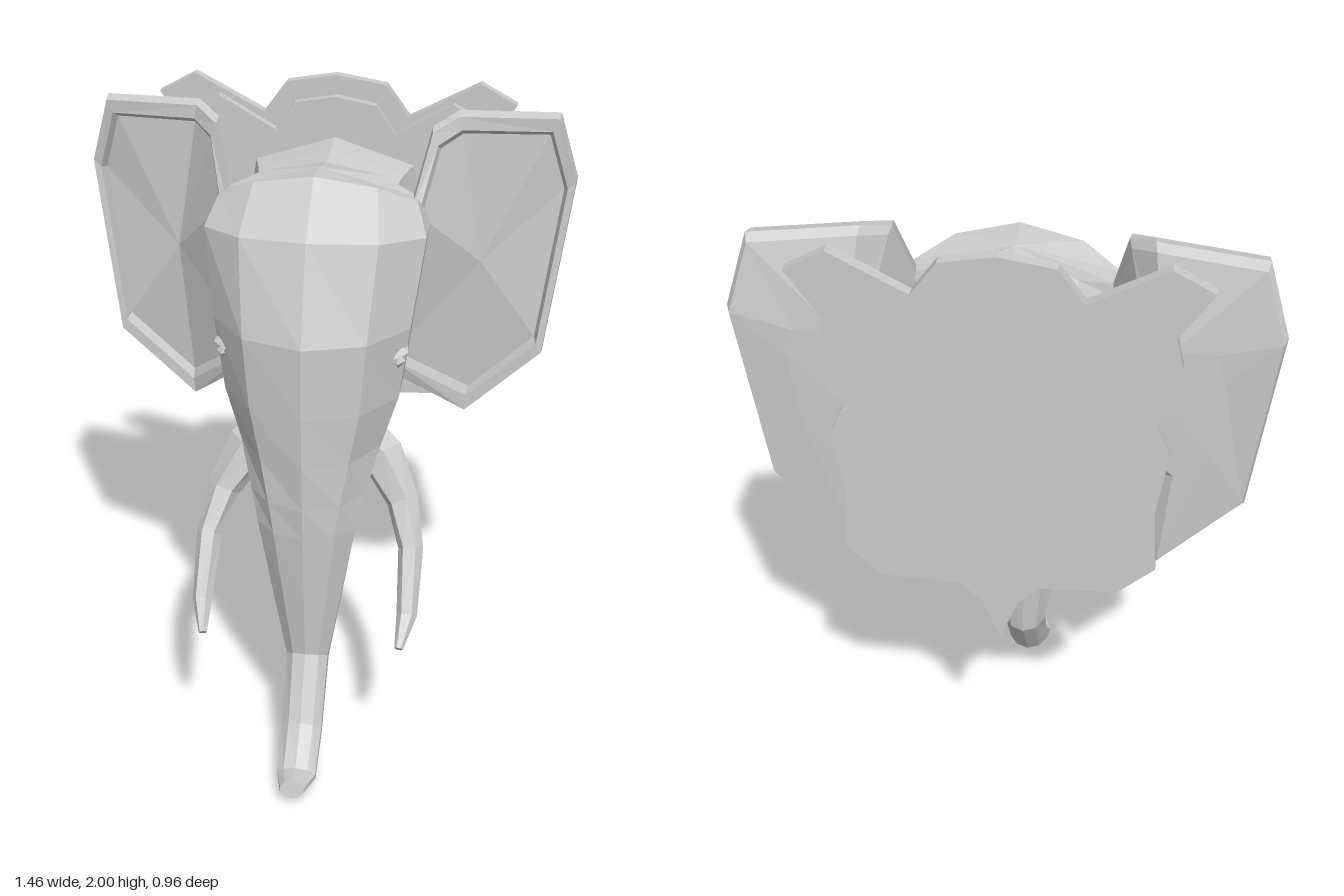
import * as THREE from 'three';

const V = (x, y, z) => new THREE.Vector3(x, y, z);
const material = new THREE.MeshStandardMaterial({ color: 0xcccccc, flatShading: true });

function addMesh(parent, name, geometry) {
  const mesh = new THREE.Mesh(geometry, material);
  mesh.name = name;
  parent.add(mesh);
  return mesh;
}

// Closed skin over rings of equal point count, capped at both ends, faces turned outward
function loft(rings, startTip, endTip) {
  const n = rings[0].length;
  const centre = (r) => r.reduce((s, p) => s.add(p), V(0, 0, 0)).divideScalar(n);
  const points = [...rings.flat(), startTip ?? centre(rings[0]), endTip ?? centre(rings.at(-1))];
  const first = rings.length * n, last = (rings.length - 1) * n;
  const faces = [];
  for (let j = 0; j < n; j++) {
    const k = (j + 1) % n;
    faces.push([first, k, j], [first + 1, last + j, last + k]);
    for (let i = 0; i < rings.length - 1; i++) {
      const a = i * n + j, b = i * n + k;
      faces.push([a, b, b + n], [a, b + n, a + n]);
    }
  }
  let volume = 0;
  const cross = V(0, 0, 0);
  for (const [a, b, c] of faces) volume += points[a].dot(cross.crossVectors(points[b], points[c]));
  if (volume < 0) faces.forEach((f) => f.reverse());
  const geometry = new THREE.BufferGeometry().setFromPoints(faces.flat().map((i) => points[i]));
  geometry.computeVertexNormals();
  return geometry;
}

const power = (v, e) => Math.sign(v) * Math.abs(v) ** e;

// Ring between a front point and a back point, with a half width and a sag at the sides
function headRing([yf, zf, yb, zb, w, sag = 0]) {
  return Array.from({ length: 10 }, (_, i) => {
    const a = (i / 10) * Math.PI * 2;
    const t = (1 - power(Math.cos(a), 1.15)) / 2;
    return V(w * Math.sin(a), yf + (yb - yf) * t - sag * Math.sin(a) ** 2, zf + (zb - zf) * t);
  });
}

// Upright ring of the neck
function neckRing([z, low, high, w]) {
  return Array.from({ length: 8 }, (_, i) => {
    const a = (i / 8) * Math.PI * 2;
    return V(w * power(Math.sin(a), 0.6),
      (low + high) / 2 + ((high - low) / 2) * power(Math.cos(a), 0.6), z);
  });
}

// Tapered six-sided horn along a path
function taperedTube(path, radii) {
  return loft(path.map((p, i) => {
    const dir = path[Math.min(i + 1, path.length - 1)].clone().sub(path[Math.max(i - 1, 0)]).normalize();
    const u = V(0, 0, 1).cross(dir).normalize(), v = dir.clone().cross(u);
    return Array.from({ length: 6 }, (_, k) => {
      const a = (k / 6) * Math.PI * 2;
      return p.clone().addScaledVector(u, radii[i] * Math.cos(a)).addScaledVector(v, radii[i] * Math.sin(a));
    });
  }));
}

function plaqueLayer(scaleX, scaleY, depth) {
  const half = [[0.15, 1.975], [0.22, 1.88], [0.43, 1.99], [0.54, 1.93], [0.45, 1.8], [0.47, 1.71],
    [0.41, 1.54], [0.45, 1.44], [0.42, 1.25], [0.43, 1.06], [0.33, 0.97], [0.11, 0.96], [0.05, 0.9]];
  const outline = [[0, 2], ...half, [0, 0.77], ...half.map(([x, y]) => [-x, y]).reverse()];
  const shape = new THREE.Shape(outline.map(([x, y]) =>
    new THREE.Vector2(x * scaleX, 1.42 + (y - 1.42) * scaleY)));
  return new THREE.ExtrudeGeometry(shape, { depth, bevelEnabled: false });
}

function earGeometry(side) {
  // Front edge of the rim; the inner points are sunk in the skull
  const rim = [[0.26, 1.72, -0.08], [0.31, 1.93, -0.17], [0.38, 1.96, -0.24], [0.67, 1.95, -0.29],
    [0.73, 1.75, -0.32], [0.66, 1.2, -0.29], [0.43, 0.98, -0.3], [0.18, 1.2, -0.12], [0.19, 1.45, -0.08]];
  const ring = (scale, dz) => rim.map(([x, y, z]) =>
    V(side * (0.48 + (x - 0.48) * scale), 1.52 + (y - 1.52) * scale, z + dz));
  const backPlate = ring(0.4, 0).map((p) => p.setZ(-0.375));
  return loft([backPlate, ring(0.96, -0.065), ring(1, -0.04), ring(0.98, 0), ring(0.89, 0), ring(0.85, -0.03)],
    V(side * 0.46, 1.5, -0.38), V(side * 0.46, 1.5, -0.28));
}

export function createModel() {
  const model = new THREE.Group();
  model.name = 'mountedElephantHead';

  // Wall plaque in two steps
  const plaque = new THREE.Group();
  plaque.name = 'plaque';
  model.add(plaque);
  addMesh(plaque, 'plaqueBase', plaqueLayer(1, 1, 0.035)).position.z = -0.48;
  addMesh(plaque, 'plaqueFace', plaqueLayer(0.82, 0.9, 0.03)).position.z = -0.447;

  // Neck from the plaque into the skull
  addMesh(model, 'neck', loft([
    [-0.43, 0.98, 1.82, 0.3], [-0.33, 1.06, 1.81, 0.27], [-0.2, 1.06, 1.79, 0.24], [-0.05, 1.1, 1.73, 0.2],
  ].map(neckRing)));

  // Skull running down into the trunk: front y, z, back y, z, half width, sag
  addMesh(model, 'headAndTrunk', loft([
    [1.84, 0.015, 1.81, -0.21, 0.3, 0.085],
    [1.7, 0.17, 1.7, -0.28, 0.335, 0.03],
    [1.42, 0.265, 1.42, -0.28, 0.3],
    [1.2, 0.265, 1.2, -0.27, 0.27],
    [1.04, 0.26, 1.06, -0.22, 0.22],
    [0.9, 0.25, 0.93, -0.05, 0.18],
    [0.8, 0.242, 0.82, 0.035, 0.155],
    [0.6, 0.225, 0.58, 0.055, 0.116],
    [0.36, 0.2, 0.29, 0.09, 0.068],
    [0.17, 0.3, 0.09, 0.23, 0.065],
    [0.075, 0.4, 0, 0.37, 0.063],
    [0.08, 0.465, 0.022, 0.48, 0.038],
  ].map(headRing), V(0, 1.83, -0.1)));

  for (const side of [1, -1]) {
    const label = side > 0 ? 'left' : 'right';

    addMesh(model, label + 'Ear', earGeometry(side));

    // Tusk curving out, down and forward
    const path = [[0.12, 1.01, -0.06], [0.205, 0.96, -0.02], [0.275, 0.84, 0.035], [0.31, 0.72, 0.11],
      [0.313, 0.55, 0.22], [0.298, 0.48, 0.3]].map(([x, y, z]) => V(side * x, y, z));
    addMesh(model, label + 'Tusk', taperedTube(path, [0.085, 0.072, 0.05, 0.038, 0.031, 0.013]));

    // Eye under a small brow fold
    const eye = addMesh(model, label + 'Eye', new THREE.OctahedronGeometry(0.03));
    eye.scale.set(0.7, 0.8, 1.1);
    eye.position.set(side * 0.255, 1.325, 0.08);
    const brow = addMesh(model, label + 'Brow', new THREE.OctahedronGeometry(0.03));
    brow.scale.set(0.8, 0.6, 1.6);
    brow.position.set(side * 0.26, 1.355, 0.075);
    brow.rotation.set(0.3, side * -0.35, 0);
  }
  return model;
}
